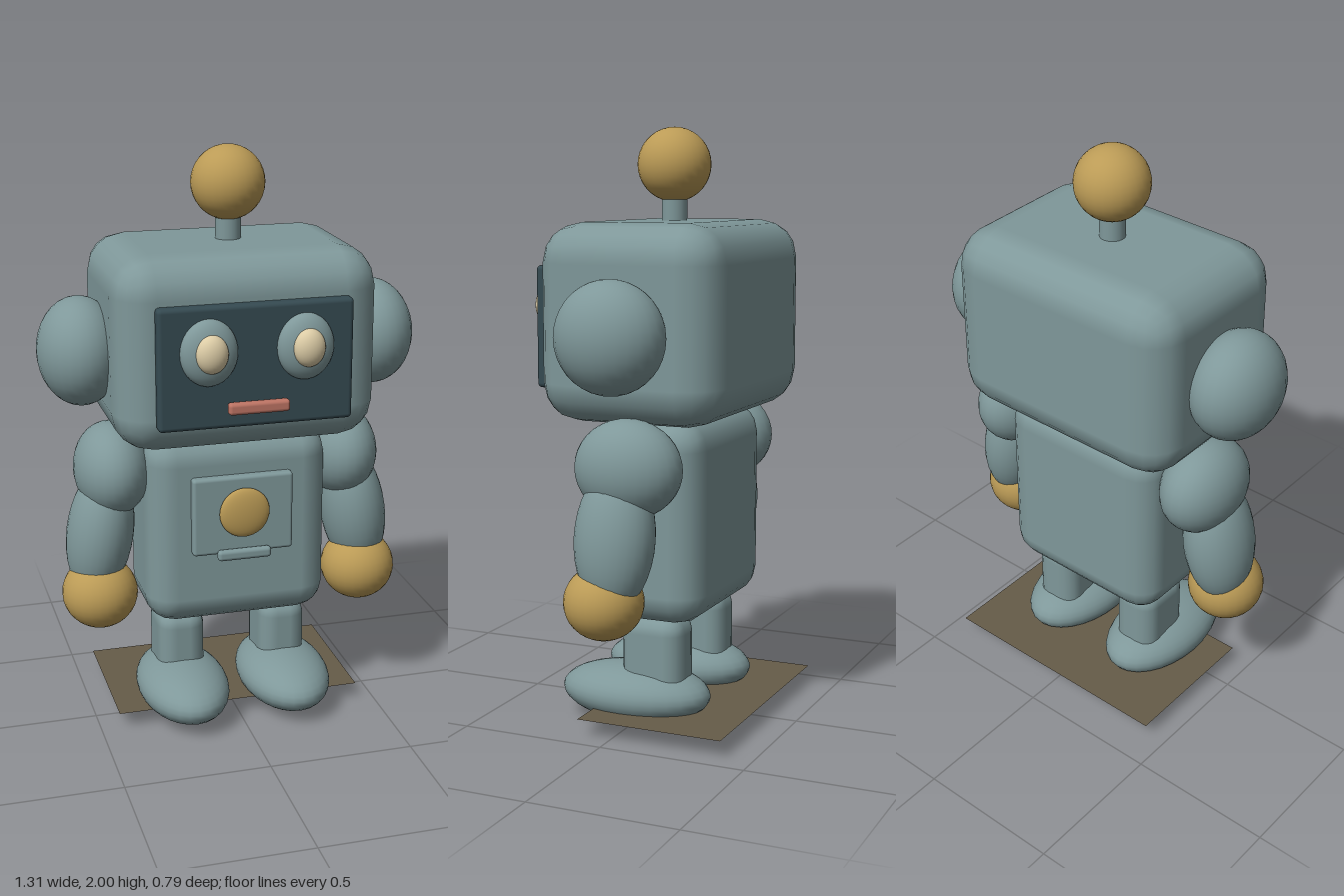
import * as THREE from 'three';
import { RoundedBoxGeometry } from 'three/addons/geometries/RoundedBoxGeometry.js';

const makeMaterial = (name, color) => {
  const m = new THREE.MeshStandardMaterial({ color });
  m.name = name;
  return m;
};

export function createModel() {
  const model = new THREE.Group();
  model.name = 'robot';

  const body = makeMaterial('blueGreyMetal', 0x7f989a);
  const brass = makeMaterial('brass', 0xbb9b56);
  const dark = makeMaterial('darkScreen', 0x354a51);
  const cream = makeMaterial('creamLight', 0xdccca6);
  const coral = makeMaterial('coralMouth', 0xbd7464);
  const ground = makeMaterial('brownBase', 0x665c49);
  ground.side = THREE.DoubleSide;

  const add = (name, geometry, material, [x, y, z]) => {
    const mesh = new THREE.Mesh(geometry, material);
    mesh.name = name;
    mesh.position.set(x, y, z);
    model.add(mesh);
    return mesh;
  };
  const box = (name, material, [w, h, d], radius, position, segments = 2) =>
    add(name, new RoundedBoxGeometry(w, h, d, segments, radius), material, position);
  const ellipsoid = (name, material, [rx, ry, rz], position) =>
    add(name, new THREE.SphereGeometry(1, 28, 18).scale(rx, ry, rz), material, position);

  // Head, antenna and face screen
  box('head', body, [0.89, 0.65, 0.635], 0.13, [0, 1.365, -0.045]);
  add('antennaStem', new THREE.CylinderGeometry(0.043, 0.043, 0.16, 20), body, [0, 1.73, -0.045]);
  ellipsoid('antennaBall', brass, [0.124, 0.124, 0.124], [0, 1.876, -0.045]);
  box('faceScreen', dark, [0.65, 0.405, 0.05], 0.015, [0, 1.345, 0.287]);
  box('mouth', coral, [0.205, 0.04, 0.034], 0.012, [0, 1.215, 0.334]);

  // Torso and chest panel
  box('torso', body, [0.64, 0.685, 0.385], 0.1, [0, 0.708, -0.066]);
  box('chestPanel', body, [0.352, 0.277, 0.045], 0.012, [0, 0.776, 0.134]);
  ellipsoid('chestButton', brass, [0.088, 0.088, 0.025], [0, 0.79, 0.17]);
  box('chestSlot', body, [0.188, 0.038, 0.03], 0.013, [0, 0.639, 0.167]);

  // Paired parts
  for (const [side, s] of [['left', 1], ['right', -1]]) {
    ellipsoid(side + 'EyeSocket', body, [0.095, 0.11, 0.052], [s * 0.16, 1.4, 0.314]);
    ellipsoid(side + 'EyeLight', cream, [0.053, 0.063, 0.038], [s * 0.16, 1.405, 0.355]);
    ellipsoid(side + 'Ear', body, [0.143, 0.183, 0.184], [s * 0.51, 1.338, -0.047]);

    ellipsoid(side + 'Shoulder', body, [0.13, 0.162, 0.183], [s * 0.41, 0.91, -0.063]);
    const forearm = ellipsoid(side + 'Forearm', body, [0.115, 0.235, 0.135], [s * 0.46, 0.69, -0.038]);
    forearm.rotation.z = s * 0.15;
    ellipsoid(side + 'Hand', brass, [0.131, 0.125, 0.132], [s * 0.472, 0.48, -0.004]);

    box(side + 'Leg', body, [0.167, 0.29, 0.222], 0.06, [s * 0.185, 0.235, -0.066]);
    ellipsoid(side + 'Foot', body, [0.159, 0.1, 0.267], [s * 0.186, 0.1, 0.014]);
  }

  // Thin base sheet crossing the soles
  add('baseSheet', new THREE.PlaneGeometry(0.872, 0.51).rotateX(-Math.PI / 2), ground, [0, 0.058, -0.14]);

  return model;
}
